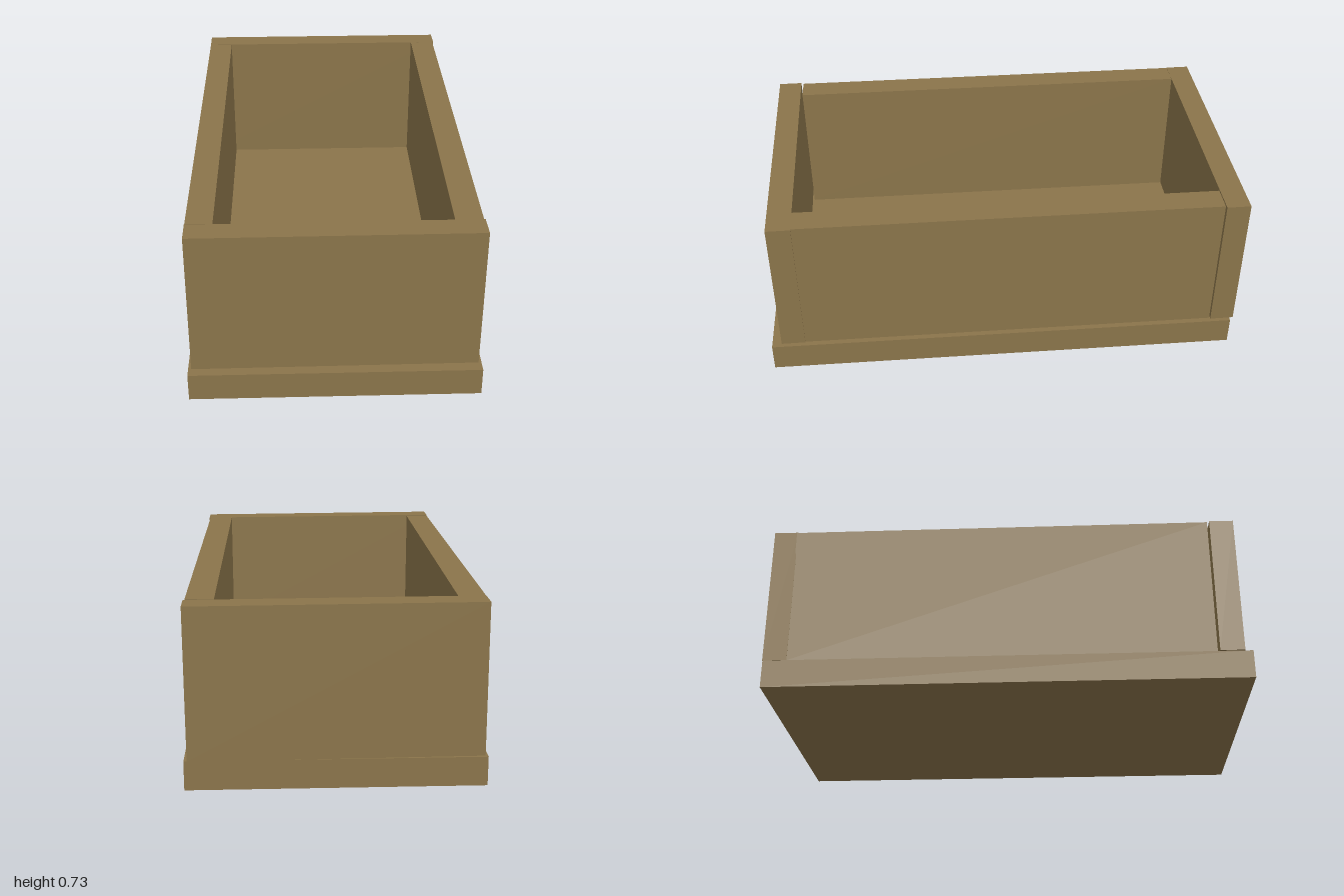
import * as THREE from 'three';

export function createModel() {
  const group = new THREE.Group();
  const wood = new THREE.MeshStandardMaterial({ color: 0x8a744a });
  wood.name = 'wood';

  // One plank: size, centre and a slight hand-built tilt
  function plank(name, size, centre, yaw = 0, roll = 0) {
    const mesh = new THREE.Mesh(new THREE.BoxGeometry(...size), wood);
    mesh.name = name;
    mesh.position.set(...centre);
    mesh.rotation.set(0, yaw, roll);
    group.add(mesh);
  }

  // Base board, a little wider than the walls
  plank('base', [1.167, 0.118, 1.985], [0, 0.059, 0.0075]);

  // End walls, slightly crooked
  plank('frontWall', [1.14, 0.607, 0.1], [0.001, 0.429, 0.915], 0.01, -0.004);
  plank('backWall', [1.14, 0.607, 0.1], [0.001, 0.427, -0.945], 0.008, -0.003);

  // Long side walls, fitted between the end walls
  plank('rightWall', [0.106, 0.607, 1.756], [-0.515, 0.427, -0.017]);
  plank('leftWall', [0.11, 0.607, 1.756], [0.511, 0.427, -0.017]);

  return group;
}
